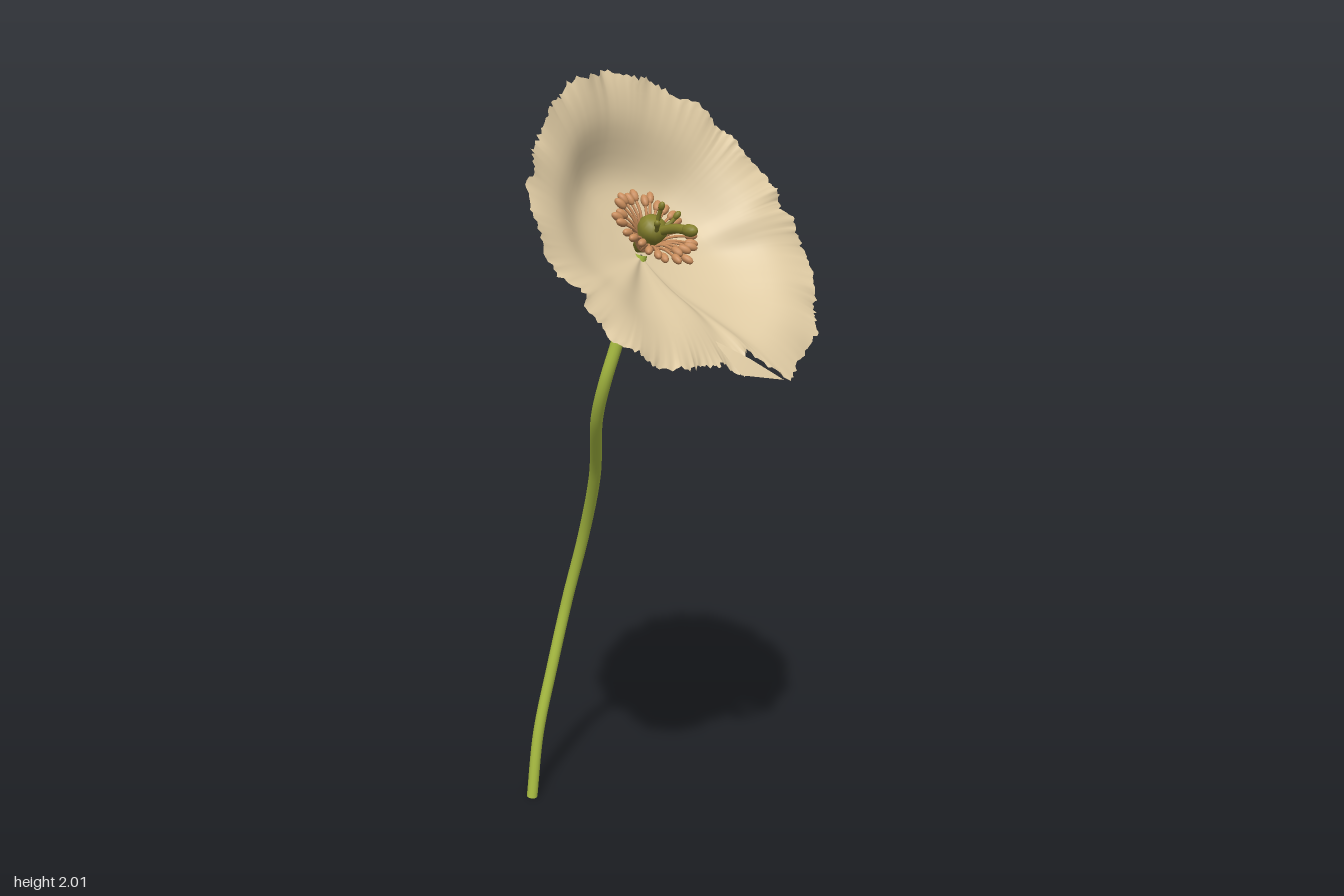
import * as THREE from 'three';

const mat = (name, color, extra = {}) => {
  const m = new THREE.MeshStandardMaterial({ color, ...extra });
  m.name = name;
  return m;
};

const V = (x, y, z) => new THREE.Vector3(x, y, z);

function seeded(seed) {
  return () => {
    seed = (seed * 16807) % 2147483647;
    return seed / 2147483647;
  };
}

// Rim of the bloom in its own frame: [along, height, side]
const RIM = [
  [-0.40, 0.11, 0], [-0.37, 0.10, 0.14], [-0.29, 0.068, 0.23], [-0.197, 0.063, 0.31],
  [-0.05, 0.068, 0.367], [0.09, 0.08, 0.345], [0.217, 0.10, 0.295], [0.29, 0.106, 0.20],
  [0.305, 0.112, 0.10], [0.32, 0.112, 0.02], [0.39, 0.122, -0.05], [0.395, 0.134, -0.12],
  [0.31, 0.16, -0.26], [0.231, 0.163, -0.32], [0.10, 0.16, -0.37], [0.0, 0.165, -0.35],
  [-0.06, 0.165, -0.35], [-0.18, 0.147, -0.31], [-0.266, 0.142, -0.26], [-0.36, 0.124, -0.14],
];

const bump = (x, centre, width) => Math.exp(-(((x - centre) / width) ** 2));

// Ragged cup of petals, lofted from the centre out to the rim
function petalGeometry() {
  const rand = seeded(71);
  const rim = new THREE.CatmullRomCurve3(RIM.map(p => V(...p)), true, 'centripetal');
  const N = 320, R = 20, pos = [], index = [];
  const rays = [];
  for (let i = 0; i < N; i++) {
    const p = rim.getPoint(i / N);
    const r = Math.hypot(p.x, p.z), c = p.x / r, s = p.z / r;
    const angle = Math.atan2(p.z, p.x);
    // section of the cup: flat floor, steep wall, flaring lip
    const heights = [0, 0.009 + 0.021 * c, 0.035 + 0.04 * c - 0.01 * s, p.y * (0.8 + 0.1 * c), p.y];
    rays.push({
      p,
      section: new THREE.SplineCurve(heights.map((h, k) => new THREE.Vector2(k / 4, h))),
      fold: 0.016 * bump(angle, 1.15, 0.24),
      slit: 0.26 * bump(angle, -0.17, 0.09) + 0.08 * bump(angle, 1.335, 0.06),
      tooth: 0.04 * rand() + 0.012 * Math.sin(i * 0.45),
      ruffle: 0.006 * (rand() - 0.5) + 0.006 * Math.sin(i * 0.33),
    });
  }
  for (let j = 0; j <= R; j++) {
    const t = 0.01 + 0.99 * j / R;
    const edge = t ** 10;
    for (const { p, section, fold, slit, tooth, ruffle } of rays) {
      const h = section.getPoint(t).y + fold * Math.sin(Math.PI * t) + ruffle * edge;
      const s = t * (1.022 - tooth * edge - slit * t * t);
      pos.push(p.x * s, h, p.z * s);
    }
  }
  for (let j = 0; j < R; j++) {
    for (let i = 0; i < N; i++) {
      const k = (i + 1) % N;
      const a = j * N + i, b = j * N + k, c = a + N, d = b + N;
      index.push(a, b, c, b, d, c);
    }
  }
  const g = new THREE.BufferGeometry();
  g.setAttribute('position', new THREE.Float32BufferAttribute(pos, 3));
  g.setIndex(index);
  g.computeVertexNormals();
  return g;
}

export function createModel() {
  const root = new THREE.Group();
  root.name = 'flower';
  const green = mat('stem green', 0xb2c746);
  const cream = mat('petal cream', 0xdcc8a1, { side: THREE.DoubleSide });
  const orange = mat('stamen orange', 0xc98d5c);
  const olive = mat('pistil olive', 0x85802c);

  const add = (parent, name, geo, material) => {
    const m = new THREE.Mesh(geo, material);
    m.name = name;
    parent.add(m);
    return m;
  };
  const tube = (pts, radius, seg, sides) =>
    new THREE.TubeGeometry(new THREE.CatmullRomCurve3(pts), seg, radius, sides);

  // Winding stem with a closed foot
  const path = [
    V(-0.407, 0, -0.143), V(-0.388, 0.2, -0.153), V(-0.358, 0.4, -0.18), V(-0.32, 0.6, -0.202),
    V(-0.25, 0.8, -0.19), V(-0.15, 1.0, -0.122), V(-0.035, 1.2, 0.0), V(0.015, 1.3, 0.028),
    V(0.05, 1.4, 0.025), V(0.08, 1.52, 0.012), V(0.1, 1.605, 0.002),
  ];
  add(root, 'stem', tube(path, 0.015, 90, 14), green);
  const foot = add(root, 'stemFoot', new THREE.CircleGeometry(0.015, 14), green);
  foot.rotation.x = Math.PI / 2;
  foot.position.set(-0.407, 0.001, -0.143);

  // Bloom, tipped towards +x
  const bloom = new THREE.Group();
  bloom.name = 'bloom';
  bloom.position.set(0.1, 1.6, 0);
  bloom.rotation.z = -58 * Math.PI / 180;
  root.add(bloom);
  add(bloom, 'petals', petalGeometry(), cream);

  // Torn flap beside the slit in the lower petal
  const flap = new THREE.BufferGeometry();
  flap.setAttribute('position', new THREE.Float32BufferAttribute(
    [0.25, 0.1, 0.015, 0.35, 0.125, 0.005, 0.32, 0.13, -0.04, 0.39, 0.14, -0.11], 3));
  flap.setIndex([0, 1, 2, 1, 3, 2]);
  flap.computeVertexNormals();
  add(bloom, 'petalFlap', flap, cream);

  // Heart of the bloom, standing more upright than the petals
  const heart = new THREE.Group();
  heart.name = 'heart';
  heart.position.set(-0.014, 0.02, 0.01);
  heart.rotation.z = 18 * Math.PI / 180;
  bloom.add(heart);

  // Ring of stamens
  const rand = seeded(9);
  const anther = new THREE.SphereGeometry(0.0092, 12, 8);
  const count = 27;
  for (let i = 0; i < count; i++) {
    const a = (i + 0.3 * (rand() - 0.5)) / count * Math.PI * 2;
    const r = 0.094 + 0.014 * (rand() - 0.5) - (i % 5 === 0 ? 0.014 : 0);
    const h = 0.06 + 0.012 * (rand() - 0.5);
    const at = (d, y) => V(Math.cos(a) * d, y, Math.sin(a) * d);
    const tip = at(r, h);
    add(heart, 'filament', tube([at(0.012, 0.0), at(r * 0.5, h * 0.72), tip], 0.0034, 8, 6), orange);
    const head = add(heart, 'anther', anther, orange);
    head.position.copy(tip);
    head.scale.set(1, 1.75, 1);
    head.quaternion.setFromUnitVectors(V(0, 1, 0), at(0.95, 0.2).normalize());
  }

  // Seed pod in the middle
  const podProfile = [[0.001, -0.025], [0.016, -0.01], [0.024, 0.015], [0.033, 0.04], [0.035, 0.055],
    [0.027, 0.07], [0.012, 0.077], [0.001, 0.078]].map(p => new THREE.Vector2(...p));
  const pod = add(heart, 'seedPod', new THREE.LatheGeometry(podProfile, 20), olive);
  pod.position.set(-0.008, 0, -0.005);

  // Stigmas: one long and three short, each with a knob
  const stigma = (base, bend, tip, radius, knob) => {
    add(bloom, 'stigma', tube([base, bend, tip], radius, 10, 8), olive);
    const end = add(bloom, 'stigmaKnob', new THREE.SphereGeometry(knob, 12, 8), olive);
    end.position.copy(tip);
    end.quaternion.setFromUnitVectors(V(0, 1, 0), tip.clone().sub(bend).normalize());
    end.scale.y = 1.5;
  };
  stigma(V(-0.025, 0.075, 0.005), V(-0.008, 0.125, 0.007), V(0.014, 0.16, 0.008), 0.0108, 0.0142);
  for (const [x, y, z] of [[-0.04, 0.118, -0.028], [-0.028, 0.118, 0.05], [-0.066, 0.12, 0.012]]) {
    stigma(V(-0.03, 0.07, 0.005), V(x * 0.8, 0.1, z * 0.7), V(x, y, z), 0.005, 0.0075);
  }
  return root;
}
